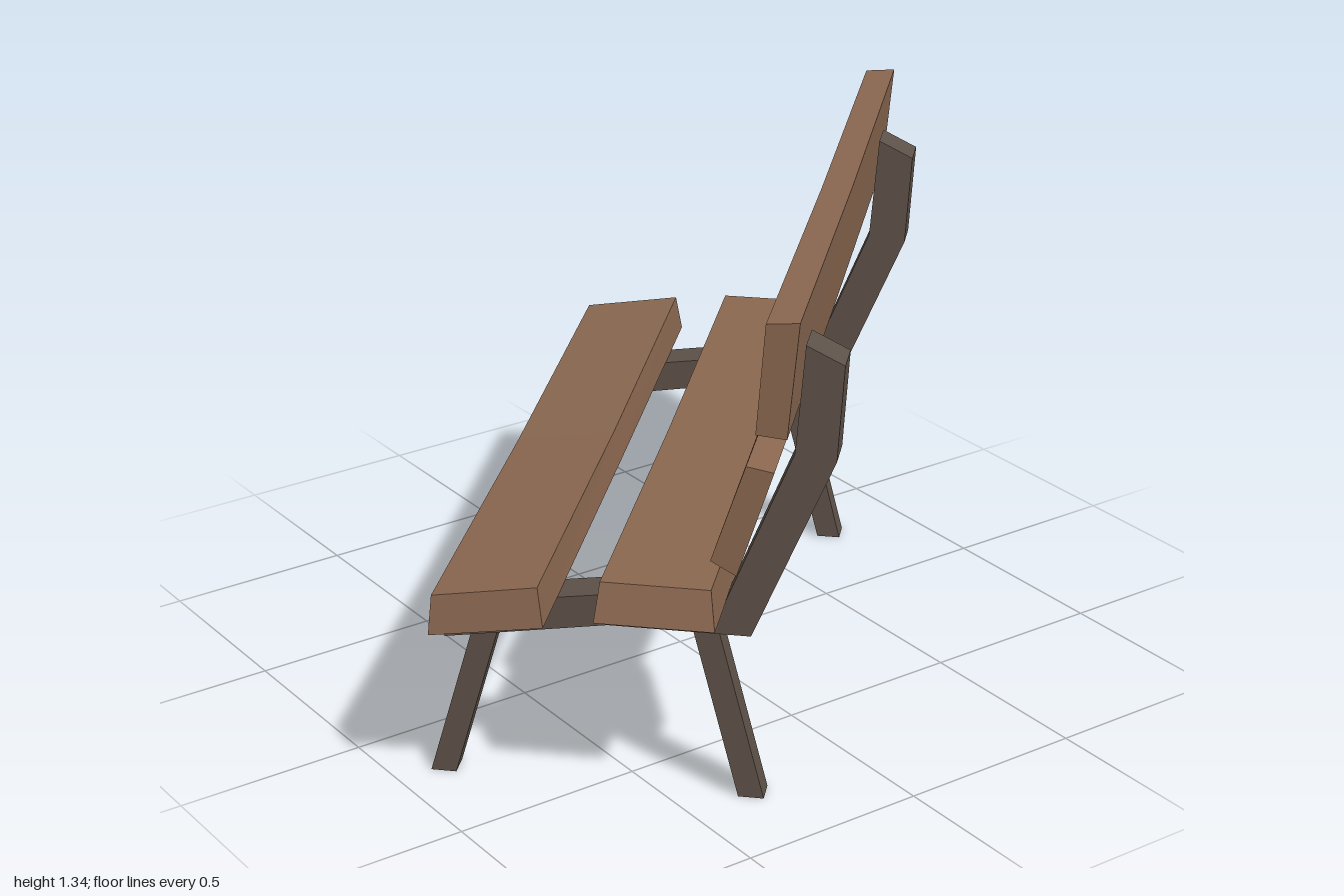
import * as THREE from 'three';

const wood = new THREE.MeshStandardMaterial({ color: 0x8b6850, flatShading: true });
const frame = new THREE.MeshStandardMaterial({ color: 0x5e5249, flatShading: true });

// Plank with a slight sag: section corners are [z, y] with z pointing to the rear.
function plank(name, { frontBottom, rearBottom, rearTop, frontTop, halfTop = 0.97, halfBottom = 0.97 }) {
  const geo = new THREE.BoxGeometry(2, 1, 1, 2, 1, 1);
  const p = geo.attributes.position;
  for (let i = 0; i < p.count; i++) {
    const top = p.getY(i) > 0;
    const rear = p.getZ(i) > 0;
    const [z, y] = top ? (rear ? rearTop : frontTop) : (rear ? rearBottom : frontBottom);
    const side = Math.round(p.getX(i));
    const sag = side === 0 ? (top ? 0.013 : 0.004) : 0;
    p.setXYZ(i, side * (top ? halfTop : halfBottom), y - sag, z);
  }
  geo.computeVertexNormals();
  const mesh = new THREE.Mesh(geo, wood);
  mesh.name = name;
  return mesh;
}

// Side profile of [z, y] points, extruded across the bench and centred on x.
function bar(name, points, width, x) {
  const shape = new THREE.Shape(points.map(([z, y]) => new THREE.Vector2(z, y)));
  const geo = new THREE.ExtrudeGeometry(shape, { depth: width, bevelEnabled: false });
  geo.translate(0, 0, -width / 2).rotateY(-Math.PI / 2);
  const mesh = new THREE.Mesh(geo, frame);
  mesh.name = name;
  mesh.position.x = x;
  return mesh;
}

// Splayed leg from foot z to top z.
function leg(name, footZ, topZ, topY, x) {
  const h = 0.032;
  return bar(name, [[footZ - h, 0], [footZ + h, 0], [topZ + h, topY], [topZ - h, topY]], 0.064, x);
}

export function createModel() {
  const model = new THREE.Group();
  model.name = 'bench';

  // Seat and backrest planks
  model.add(
    plank('frontSeatPlank', {
      frontBottom: [-0.444, 0.48], rearBottom: [-0.163, 0.523],
      rearTop: [-0.178, 0.622], frontTop: [-0.437, 0.58], halfTop: 0.955,
    }),
    plank('rearSeatPlank', {
      frontBottom: [-0.042, 0.545], rearBottom: [0.249, 0.545],
      rearTop: [0.236, 0.643], frontTop: [-0.03, 0.643], halfTop: 0.94, halfBottom: 0.965,
    }),
    plank('lowerBackPlank', {
      frontBottom: [0.238, 0.735], rearBottom: [0.3, 0.7],
      rearTop: [0.386, 0.97], frontTop: [0.32, 0.982],
    }),
    plank('upperBackPlank', {
      frontBottom: [0.341, 1.062], rearBottom: [0.414, 1.055],
      rearTop: [0.44, 1.342], frontTop: [0.362, 1.335],
    }),
  );

  // Two side frames: bent seat rail and back post in one piece, plus legs
  for (const side of [-1, 1]) {
    const x = side * 0.75;
    const group = new THREE.Group();
    group.name = side > 0 ? 'leftFrame' : 'rightFrame';
    group.add(
      bar('railAndPost', [
        [-0.447, 0.39], [-0.04, 0.456], [0.311, 0.456], [0.509, 0.93], [0.524, 1.175],
        [0.432, 1.22], [0.41, 0.945], [0.248, 0.545], [0, 0.545], [-0.473, 0.475],
      ], 0.1, x),
      leg('frontLeg', -0.466, -0.338, 0.45, x),
      leg('rearLeg', 0.312, 0.194, 0.47, x),
    );
    model.add(group);
  }

  // The bench stands diagonally
  model.rotation.y = Math.PI / 4;
  const root = new THREE.Group();
  root.add(model);
  return root;
}
